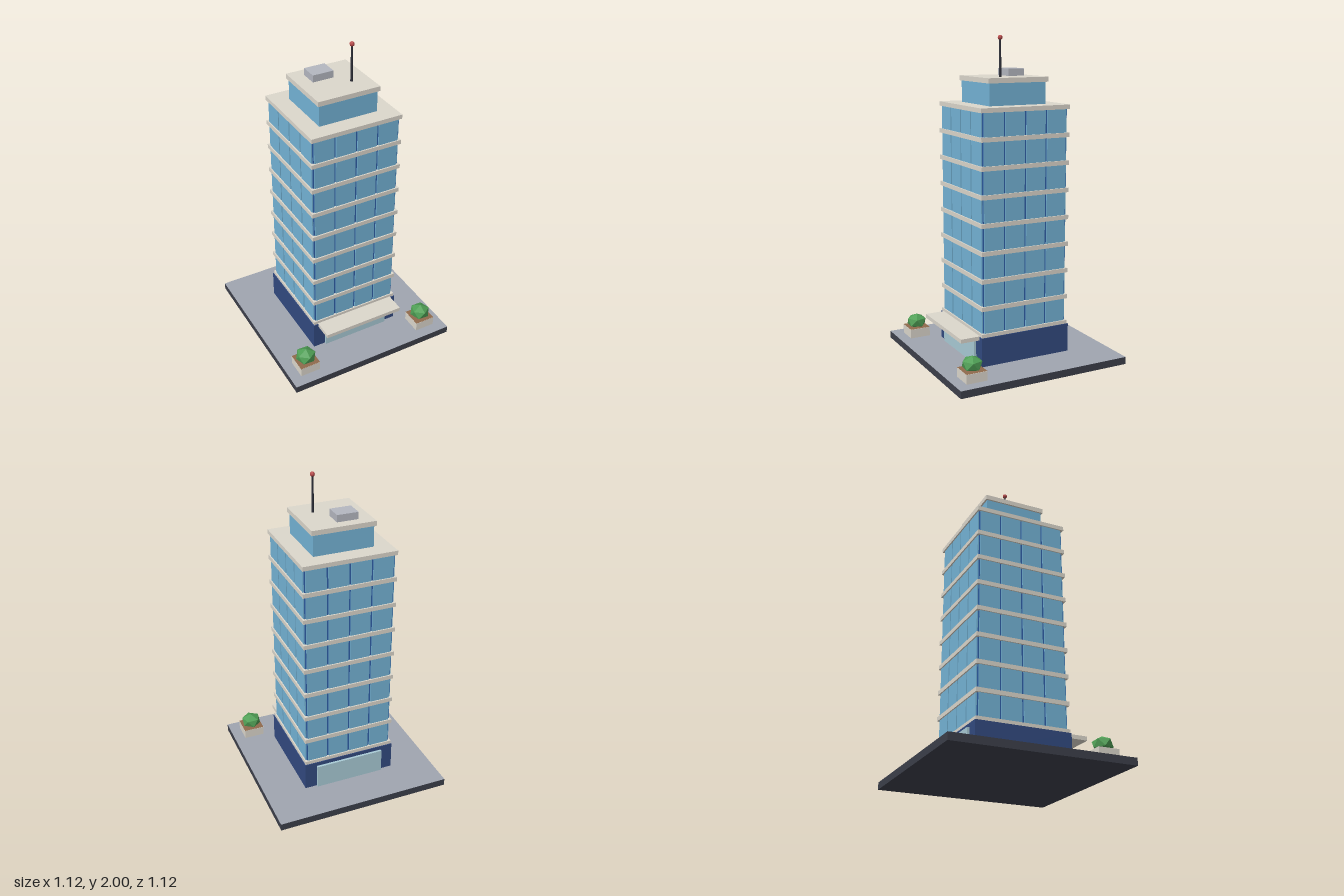
import * as THREE from 'three';

const mat = (color) => new THREE.MeshStandardMaterial({ color });
const faceted = (color) => new THREE.MeshStandardMaterial({ color, flatShading: true });

const M = {
  cream: mat(0xdcd7cc), glass: mat(0x74b3d6), lobbyGlass: mat(0xa9cbd6),
  navy: mat(0x324a80), frame: mat(0x2f5fa8), kerb: mat(0x3c3f4a),
  paving: mat(0xa0a5b0), unit: mat(0xb4b7c0), soil: mat(0x8f6a4c),
  mast: mat(0x2c2e38), leaf: faceted(0x4f9f55), lamp: faceted(0xb84a4a),
};

export function createModel() {
  const model = new THREE.Group();
  model.name = 'officeTower';

  const add = (name, geometry, material, x, y, z, parent = model) => {
    const mesh = new THREE.Mesh(geometry, material);
    mesh.name = name;
    mesh.position.set(x, y, z);
    parent.add(mesh);
    return mesh;
  };
  // Box given by width, depth and its bottom and top heights
  const block = (name, material, w, d, y0, y1, x = 0, z = 0, parent = model) =>
    add(name, new THREE.BoxGeometry(w, y1 - y0, d), material, x, (y0 + y1) / 2, z, parent);
  // Thin coloured sheet lying on top of a block
  const sheet = (name, material, size, y, x = 0, z = 0, parent = model) =>
    add(name, new THREE.PlaneGeometry(size, size).rotateX(-Math.PI / 2), material, x, y, z, parent);

  // Plaza
  block('plazaSlab', M.kerb, 1.12, 1.12, 0, 0.045);
  sheet('plazaPaving', M.paving, 1.12, 0.046);

  // Ground floor with glazed lobby front and back, and the entrance canopy
  block('podium', M.navy, 0.6, 0.6, 0.045, 0.225);
  for (const side of [1, -1]) {
    block(side > 0 ? 'frontLobbyGlass' : 'backLobbyGlass', M.lobbyGlass,
      0.445, 0.03, 0.045, 0.2, 0, side * 0.3);
  }
  block('canopy', M.cream, 0.535, 0.135, 0.205, 0.23, 0, 0.3535);

  // Tower: core, floor slabs and four window panels per side on each storey
  const floors = 8, pitch = 0.168, firstSlab = 0.234, slab = 0.027;
  const roofY = firstSlab + floors * pitch + slab / 2;
  block('towerCore', M.frame, 0.56, 0.56, 0.225, roofY - 0.01);
  const panel = new THREE.BoxGeometry(0.128, pitch - slab, 0.02);
  for (let i = 0; i <= floors; i++) {
    const y = firstSlab + i * pitch;
    block('floorSlab', M.cream, 0.59, 0.59, y - slab / 2, y + slab / 2);
    if (i === floors) break;
    for (let side = 0; side < 4; side++) {
      const wall = new THREE.Group();
      wall.name = 'windowRow';
      wall.rotation.y = side * Math.PI / 2;
      model.add(wall);
      for (let k = 0; k < 4; k++) {
        add('window', panel, M.glass, (k - 1.5) * 0.14, y + pitch / 2, 0.277, wall);
      }
    }
  }

  // Penthouse and roof equipment
  block('penthouse', M.glass, 0.378, 0.378, roofY, 1.724);
  block('penthouseRoof', M.cream, 0.4, 0.4, 1.724, 1.754);
  block('roofUnit', M.unit, 0.134, 0.11, 1.754, 1.798, -0.047, -0.08);
  add('antenna', new THREE.CylinderGeometry(0.006, 0.008, 0.232, 8), M.mast, 0.088, 1.87, 0.066);
  add('antennaLamp', new THREE.SphereGeometry(0.015, 8, 6), M.lamp, 0.088, 1.985, 0.066);

  // Planters with faceted shrubs
  const shrub = new THREE.IcosahedronGeometry(0.067, 0).rotateZ(0.5).rotateY(0.3).scale(1, 0.74, 1);
  for (const side of [1, -1]) {
    const planter = new THREE.Group();
    planter.name = side > 0 ? 'leftPlanter' : 'rightPlanter';
    planter.position.set(side * 0.425, 0, 0.425);
    model.add(planter);
    block('planterBox', M.cream, 0.132, 0.132, 0.045, 0.104, 0, 0, planter);
    sheet('soil', M.soil, 0.132, 0.105, 0, 0, planter);
    add('shrub', shrub, M.leaf, 0, 0.138, 0, planter);
  }

  return model;
}
